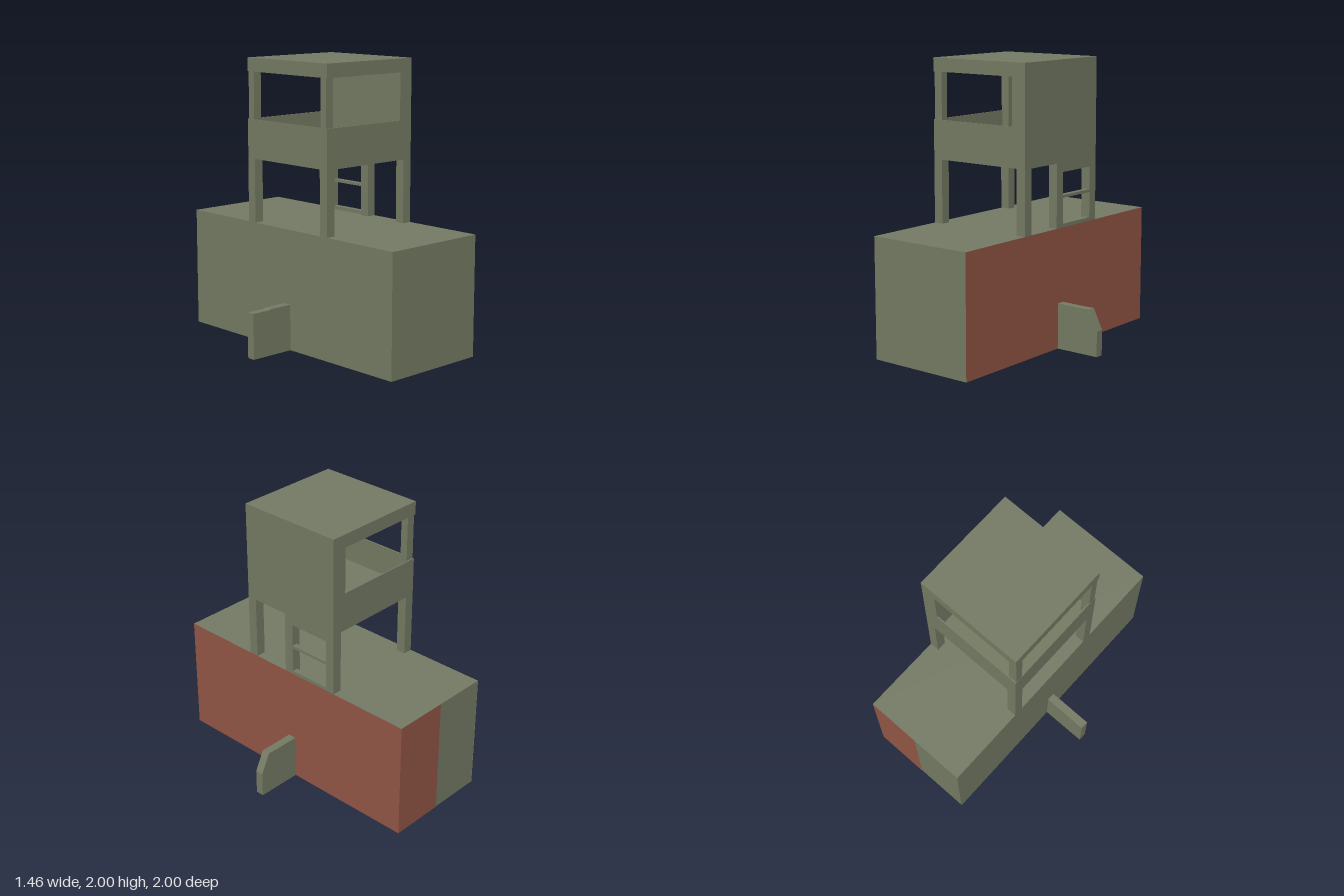
import * as THREE from 'three';

const mat = (name, color, side = THREE.DoubleSide) => {
  const m = new THREE.MeshStandardMaterial({ color, side });
  m.name = name;
  return m;
};

export function createModel() {
  const model = new THREE.Group();
  model.name = 'watchtower';
  const olive = mat('olive', 0x747a63);
  const red = mat('brick red', 0x925645);
  const tan = mat('tan', 0xb58d63, THREE.FrontSide);

  const add = (name, geometry, material) => {
    const mesh = new THREE.Mesh(geometry, material);
    mesh.name = name;
    model.add(mesh);
    return mesh;
  };

  // Box given by its minimum and maximum on each axis
  const box = (name, [x0, x1], [y0, y1], [z0, z1], m = olive) => {
    const mesh = add(name, new THREE.BoxGeometry(x1 - x0, y1 - y0, z1 - z0), m);
    mesh.position.set((x0 + x1) / 2, (y0 + y1) / 2, (z0 + z1) / 2);
    return mesh;
  };

  // Hollow olive base, open underneath
  const H = 0.85;
  const panel = (name, w, h, pos, rx, ry, m = olive) => {
    const mesh = add(name, new THREE.PlaneGeometry(w, h), m);
    mesh.position.set(...pos);
    mesh.rotation.set(rx, ry, 0);
  };
  panel('baseFront', 0.8, H, [0, H / 2, 1], 0, 0);
  panel('baseBack', 0.8, H, [0, H / 2, -0.997], 0, Math.PI);
  panel('baseLeft', 2, H, [0.397, H / 2, 0], 0, Math.PI / 2);
  panel('baseRight', 2, H, [-0.4, H / 2, 0], 0, -Math.PI / 2);
  panel('baseTop', 0.8, 2, [0, H, 0], -Math.PI / 2, 0);

  // Red cladding over the left side and half of the back
  panel('leftCladding', 2, H, [0.4, H / 2, 0], 0, Math.PI / 2, red);
  panel('backCladding', 0.4, H, [0.2, H / 2, -1], 0, Math.PI, red);

  // Corner posts: inside the base, below the cabin, and set back under the roof
  const posts = (name, y, inner, outerX, outerZ) => {
    const span = (s, outer) => (s > 0 ? [inner, outer] : [-outer, -inner]);
    for (const sx of [-1, 1]) {
      for (const sz of [-1, 1]) box(name, span(sx, outerX), y, span(sz, outerZ));
    }
  };
  posts('basePost', [0, H], 0.333, 0.395, 0.395);
  posts('lowerPost', [H, 1.3], 0.33, 0.4, 0.4);
  posts('upperPost', [1.3, 1.905], 0.335, 0.398, 0.39);

  // Cabin: floor, thin parapets, solid left wall and roof
  box('cabinFloor', [-0.39, 0.39], [1.3, 1.36], [-0.39, 0.39]);
  box('frontParapet', [-0.4, 0.29], [1.3, 1.575], [0.39, 0.4]);
  box('backParapet', [-0.4, 0.29], [1.3, 1.575], [-0.4, -0.39]);
  box('rightParapet', [-0.4, -0.39], [1.3, 1.575], [-0.39, 0.39]);
  box('leftWall', [0.29, 0.4], [1.3, 1.905], [-0.4, 0.4]);
  box('roof', [-0.4, 0.4], [1.905, 2], [-0.4, 0.4]);

  // Door post and ladder rungs below the left wall
  box('doorPost', [0.333, 0.4], [H, 1.3], [-0.02, 0.05]);
  box('ladderHeader', [0.35, 0.4], [1.235, 1.3], [-0.335, -0.02]);
  box('ladderRung', [0.36, 0.4], [1.055, 1.075], [-0.335, -0.02]);
  box('ladderSill', [0.36, 0.4], [H, 0.875], [-0.335, -0.02]);

  // Side fins: two faces joined by edge strips, open underneath
  const fin = (name, outline) => {
    const group = new THREE.Group();
    group.name = name;
    const shape = new THREE.Shape(outline.map(([x, y]) => new THREE.Vector2(x, y)));
    for (const z of [-0.03, 0.03]) {
      const face = add('finFace', new THREE.ShapeGeometry(shape), olive);
      face.position.z = z;
      group.add(face);
    }
    for (let i = 1; i < outline.length; i++) {
      const [[x0, y0], [x1, y1]] = [outline[i - 1], outline[i]];
      const strip = new THREE.PlaneGeometry(Math.hypot(x1 - x0, y1 - y0), 0.06);
      strip.rotateX(-Math.PI / 2).rotateZ(Math.atan2(y1 - y0, x1 - x0));
      strip.translate((x0 + x1) / 2, (y0 + y1) / 2, 0);
      group.add(add('finEdge', strip, olive));
    }
    model.add(group);
  };
  fin('rightFin', [[-0.73, 0], [-0.73, 0.32], [-0.59, 0.32], [-0.58, 0.325], [-0.05, 0.325], [-0.05, 0]]);
  fin('leftFin', [[0.27, 0], [0.27, 0.325], [0.58, 0.32], [0.66, 0.322], [0.73, 0.18], [0.73, 0]]);

  // Tan blocks inside the base
  box('tiltedBlock', [-0.1, 0.14], [0.06, 0.2], [0.02, 0.22], tan).rotation.set(0.1, 0.3, 0.15);
  box('lowBlock', [-0.32, -0.1], [0, 0.18], [-0.02, 0.16], tan);
  box('uprightBlock', [-0.1, 0.07], [0.18, 0.4], [-0.12, 0], tan);

  return model;
}
